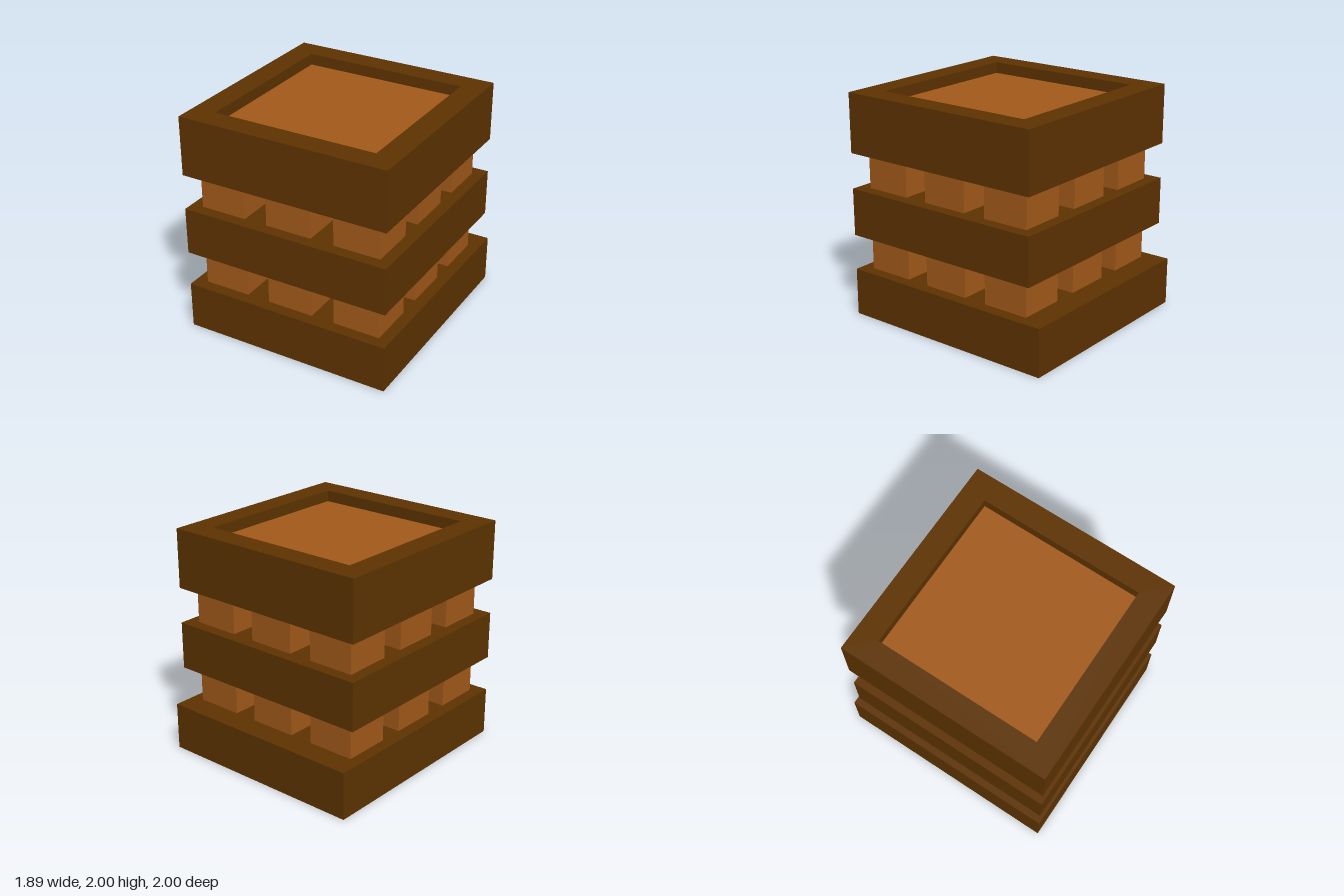
import * as THREE from 'three';

// Everything sits on a regular grid of 19 cells to the full height
const U = 2 / 19;

export function createModel() {
  const group = new THREE.Group();
  const darkWood = new THREE.MeshStandardMaterial({ name: 'darkWood', color: 0x5e3300 });
  const lightWood = new THREE.MeshStandardMaterial({ name: 'lightWood', color: 0xa35a1a });

  // Box given by its limits in grid cells
  function box(name, material, [x0, x1], [y0, y1], [z0, z1]) {
    const geometry = new THREE.BoxGeometry((x1 - x0) * U, (y1 - y0) * U, (z1 - z0) * U);
    const mesh = new THREE.Mesh(geometry, material);
    mesh.name = name;
    mesh.position.set((x0 + x1) / 2 * U, (y0 + y1) / 2 * U, (z0 + z1) / 2 * U);
    group.add(mesh);
  }

  // Counter-clockwise outline on the ground plane
  function rectangle(Type, [x0, x1], [z0, z1]) {
    return new Type([[x0, z1], [x1, z1], [x1, z0], [x0, z0]]
      .map(([x, z]) => new THREE.Vector2(x * U, -z * U)));
  }

  // Rim one cell high around a rectangular recess
  function rim(name, y, outerX, outerZ, innerX, innerZ) {
    const shape = rectangle(THREE.Shape, outerX, outerZ);
    shape.holes.push(rectangle(THREE.Path, innerX, innerZ));
    const geometry = new THREE.ExtrudeGeometry(shape, { depth: U, bevelEnabled: false });
    geometry.rotateX(-Math.PI / 2);
    const mesh = new THREE.Mesh(geometry, darkWood);
    mesh.name = name;
    mesh.position.y = y * U;
    group.add(mesh);
  }

  const width = [-9, 9];
  const depth = [-8.5, 9.5];
  const baseDepth = [-9.5, 9.5];
  const topInnerX = [-7, 7];
  const topInnerZ = [-6.5, 7.5];
  const baseInnerX = [-7, 8];
  const baseInnerZ = [-7.5, 7.5];
  const thin = 0.05;

  // Base slab, recessed underneath
  rim('baseRim', 0, width, baseDepth, baseInnerX, baseInnerZ);
  box('baseSlab', darkWood, width, [1, 4], baseDepth);
  box('basePanel', lightWood, baseInnerX, [1 - thin, 1], baseInnerZ);

  // Middle slab
  box('middleSlab', darkWood, width, [7, 11], depth);

  // Top slab, recessed above
  box('topSlab', darkWood, width, [14, 18], depth);
  rim('topRim', 18, width, depth, topInnerX, topInnerZ);
  box('topPanel', lightWood, topInnerX, [18, 18 + thin], topInnerZ);

  // Two layers of spacer blocks, three by three
  for (const y of [4, 11]) {
    for (const x of [-8, -2, 4]) {
      for (const z of [-7.5, -1.5, 4.5]) {
        box('spacerBlock', lightWood, [x, x + 4], [y, y + 3], [z, z + 4]);
      }
    }
  }

  return group;
}
